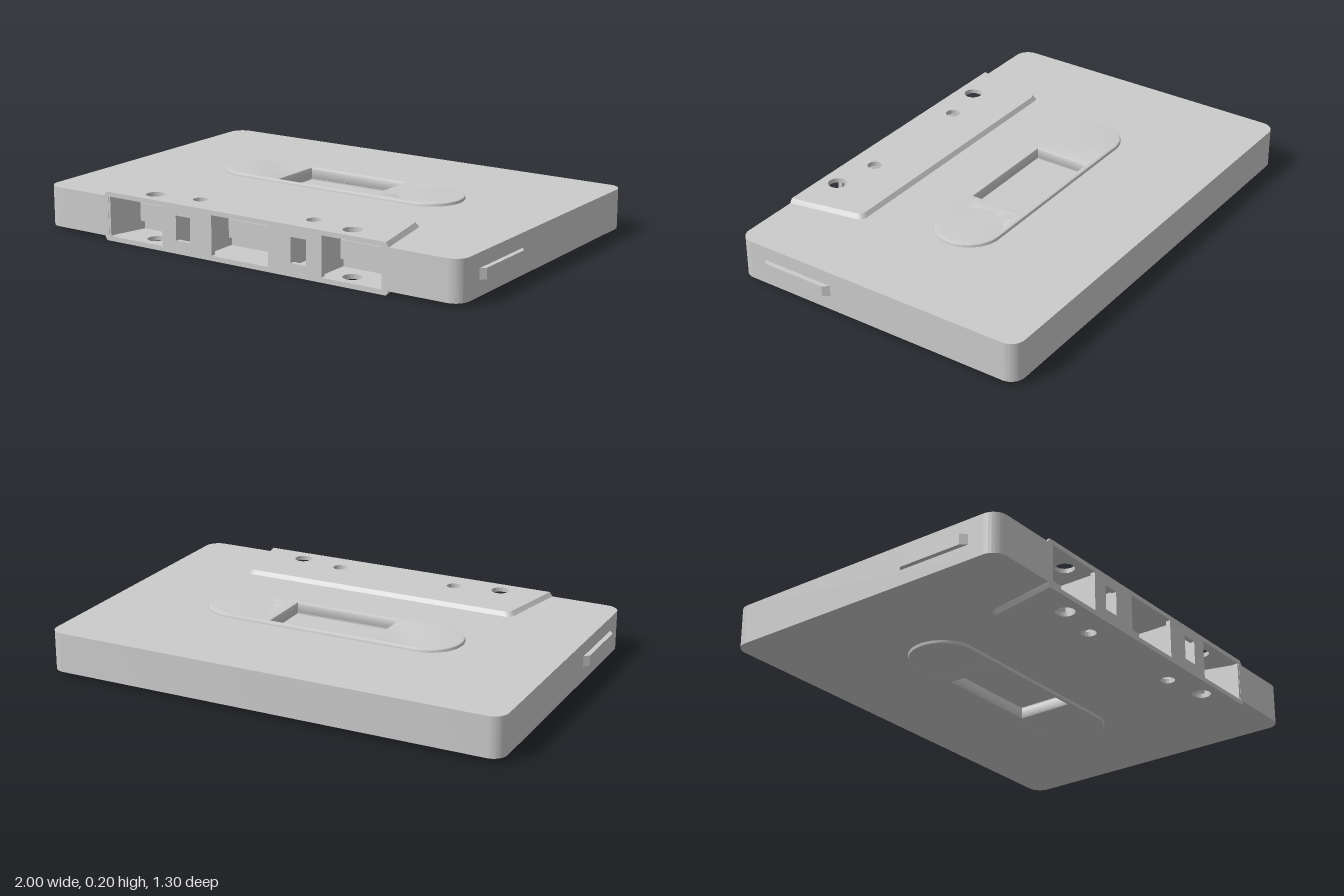
import * as THREE from 'three';
import { toCreasedNormals } from 'three/addons/utils/BufferGeometryUtils.js';

const MID = 0.101;                 // mid height of the shell
const HUB = { x: 0.425, z: -0.05 };
const mat = new THREE.MeshStandardMaterial({ color: 0xcccccc });

function mesh(name, geo, parent) {
  const m = new THREE.Mesh(geo, mat);
  m.name = name;
  parent.add(m);
  return m;
}

function box(name, parent, x0, x1, y0, y1, z0, z1) {
  const m = mesh(name, new THREE.BoxGeometry(x1 - x0, y1 - y0, z1 - z0), parent);
  m.position.set((x0 + x1) / 2, (y0 + y1) / 2, (z0 + z1) / 2);
}

function polyPath(points) {
  return new THREE.Path(points.map(([x, y]) => new THREE.Vector2(x, y)));
}

function rectHole(x0, x1, y0, y1) {
  return polyPath([[x0, y0], [x0, y1], [x1, y1], [x1, y0]]);
}

function circleHole(x, y, r) {
  const p = new THREE.Path();
  p.absarc(x, y, r, 0, Math.PI * 2, true);
  return p;
}

// Extrudes an (x, z) outline so that its upper face lies at height top
function slab(shape, top, depth, bevel = 0) {
  const geo = new THREE.ExtrudeGeometry(shape, {
    depth: depth - 2 * bevel, curveSegments: 32, bevelEnabled: bevel > 0,
    bevelThickness: bevel, bevelSize: bevel, bevelOffset: -bevel, bevelSegments: 2,
  });
  geo.rotateX(Math.PI / 2).translate(0, top - bevel, 0);
  return geo;
}

function hubAndWindowHoles(shape, r, grow) {
  for (const s of [-1, 1]) shape.holes.push(circleHole(s * HUB.x, HUB.z, r));
  shape.holes.push(rectHole(-0.23 - grow, 0.23 + grow, -0.165 - grow, 0.07 + grow));
}

// Main shell: rounded rectangle with a head bay cut into the front edge
function bodyGeometry() {
  const w = 0.98, d = 0.65, r = 0.06, s = new THREE.Shape();
  s.moveTo(-w + r, -d);
  s.lineTo(w - r, -d);
  s.absarc(w - r, -d + r, r, -Math.PI / 2, 0);
  s.lineTo(w, d - r);
  s.absarc(w - r, d - r, r, 0, Math.PI / 2);
  s.lineTo(0.655, d);
  s.lineTo(0.61, 0.48);
  s.lineTo(-0.61, 0.48);
  s.lineTo(-0.655, d);
  s.lineTo(-w + r, d);
  s.absarc(-w + r, d - r, r, Math.PI / 2, Math.PI);
  s.lineTo(-w, -d + r);
  s.absarc(-w + r, -d + r, r, Math.PI, Math.PI * 1.5);
  hubAndWindowHoles(s, 0.128, 0.01);
  return toCreasedNormals(slab(s, 0.184, 0.166), 0.6);
}

// Raised trapezoid over the head bay, its outer edges sloping down to the shell
function trapezoidGeometry() {
  const s = new THREE.Shape();
  s.moveTo(0.665, 0.65);
  s.lineTo(-0.665, 0.65);
  s.lineTo(-0.61, 0.37);
  s.quadraticCurveTo(-0.605, 0.342, -0.575, 0.342);
  s.lineTo(0.575, 0.342);
  s.quadraticCurveTo(0.605, 0.342, 0.61, 0.37);
  for (const m of [-1, 1]) {
    s.holes.push(circleHole(m * 0.47, 0.575, 0.038));
    s.holes.push(circleHole(m * 0.272, 0.54, 0.03));
  }
  const geo = slab(s, 0.202, 0.019), p = geo.attributes.position;
  for (let i = 0; i < p.count; i++) {
    if (p.getY(i) > 0.19) continue;
    const x = p.getX(i), z = p.getZ(i);
    if (Math.abs(x) > 0.55) p.setX(i, x + Math.sign(x) * 0.012);
    if (z < 0.375) p.setZ(i, z - 0.012);
  }
  return toCreasedNormals(geo, 0.5);
}

// Raised stadium around both hubs and the window
function stadiumGeometry() {
  const s = new THREE.Shape(), r = 0.14;
  s.absarc(HUB.x, HUB.z, r, -Math.PI / 2, Math.PI / 2);
  s.absarc(-HUB.x, HUB.z, r, Math.PI / 2, Math.PI * 1.5);
  hubAndWindowHoles(s, 0.122, 0);
  return toCreasedNormals(slab(s, 0.198, 0.05, 0.01), 0.5);
}

// Front panel with tape openings and guide slots
function frontPanelGeometry() {
  const s = new THREE.Shape(polyPath([[-0.66, 0.016], [0.66, 0.016], [0.66, 0.186], [-0.66, 0.186]]).getPoints());
  s.holes.push(rectHole(-0.135, 0.135, 0.02, 0.184));
  for (const m of [-1, 1]) {
    const span = (a, b, y0, y1) => s.holes.push(rectHole(Math.min(m * a, m * b), Math.max(m * a, m * b), y0, y1));
    span(0.38, 0.645, 0.02, 0.184);
    span(0.24, 0.31, 0.053, 0.155);
  }
  return new THREE.ExtrudeGeometry(s, { depth: 0.02, bevelEnabled: false }).translate(0, 0, 0.629);
}

// Toothed spool ring, open through the middle
function makeHub() {
  const hub = new THREE.Group();
  hub.name = 'hub';
  const profile = [[0.105, -0.06], [0.129, -0.06], [0.129, 0.06], [0.112, 0.06], [0.105, 0.052], [0.105, -0.06]];
  const ring = new THREE.LatheGeometry(profile.map(([x, y]) => new THREE.Vector2(x, y)), 48);
  mesh('hubRing', toCreasedNormals(ring, 0.5), hub);
  for (let i = 0; i < 6; i++) {
    const a = (i * Math.PI) / 3 + Math.PI / 2;
    const tooth = mesh('hubTooth', new THREE.BoxGeometry(0.03, 0.09, 0.022), hub);
    tooth.position.set(Math.cos(a) * 0.094, 0, Math.sin(a) * 0.094);
    tooth.rotation.y = -a;
  }
  return hub;
}

export function createModel() {
  const model = new THREE.Group();
  model.name = 'cassette';
  mesh('shell', bodyGeometry(), model);
  mesh('frontPanel', frontPanelGeometry(), model);
  box('windowFloor', model, -0.245, 0.245, 0.06, 0.142, -0.18, 0.085);
  box('tape', model, -0.615, 0.615, 0.055, 0.13, 0.475, 0.5);

  // Raised details, repeated on the underside by a half turn
  for (const turn of [0, Math.PI]) {
    const face = new THREE.Group();
    face.name = turn ? 'lowerFace' : 'upperFace';
    mesh('headCover', trapezoidGeometry(), face);
    mesh('hubSurround', stadiumGeometry(), face);
    face.rotation.z = turn;
    if (turn) face.position.y = 2 * MID;
    model.add(face);
  }

  for (const s of [-1, 1]) {
    const hub = makeHub();
    hub.position.set(s * HUB.x, MID, HUB.z);
    model.add(hub);

    // Walls between the front openings
    for (const x of [0.185, 0.345]) {
      box('divider', model, s * x - 0.02, s * x + 0.02, 0.02, 0.184, 0.47, 0.635);
    }

    // Side grip with sloping ends
    const grip = new THREE.Shape(polyPath([[0.97, 0.2], [0.98, 0.2], [1, 0.225], [1, 0.5], [0.98, 0.52], [0.97, 0.52]]).getPoints());
    const tab = mesh('sideGrip', slab(grip, 0.022, 0.044), model);
    tab.position.set(0, MID + 0.002, s > 0 ? 0 : 0.72);
    tab.rotation.y = s > 0 ? 0 : Math.PI;
  }
  return model;
}
